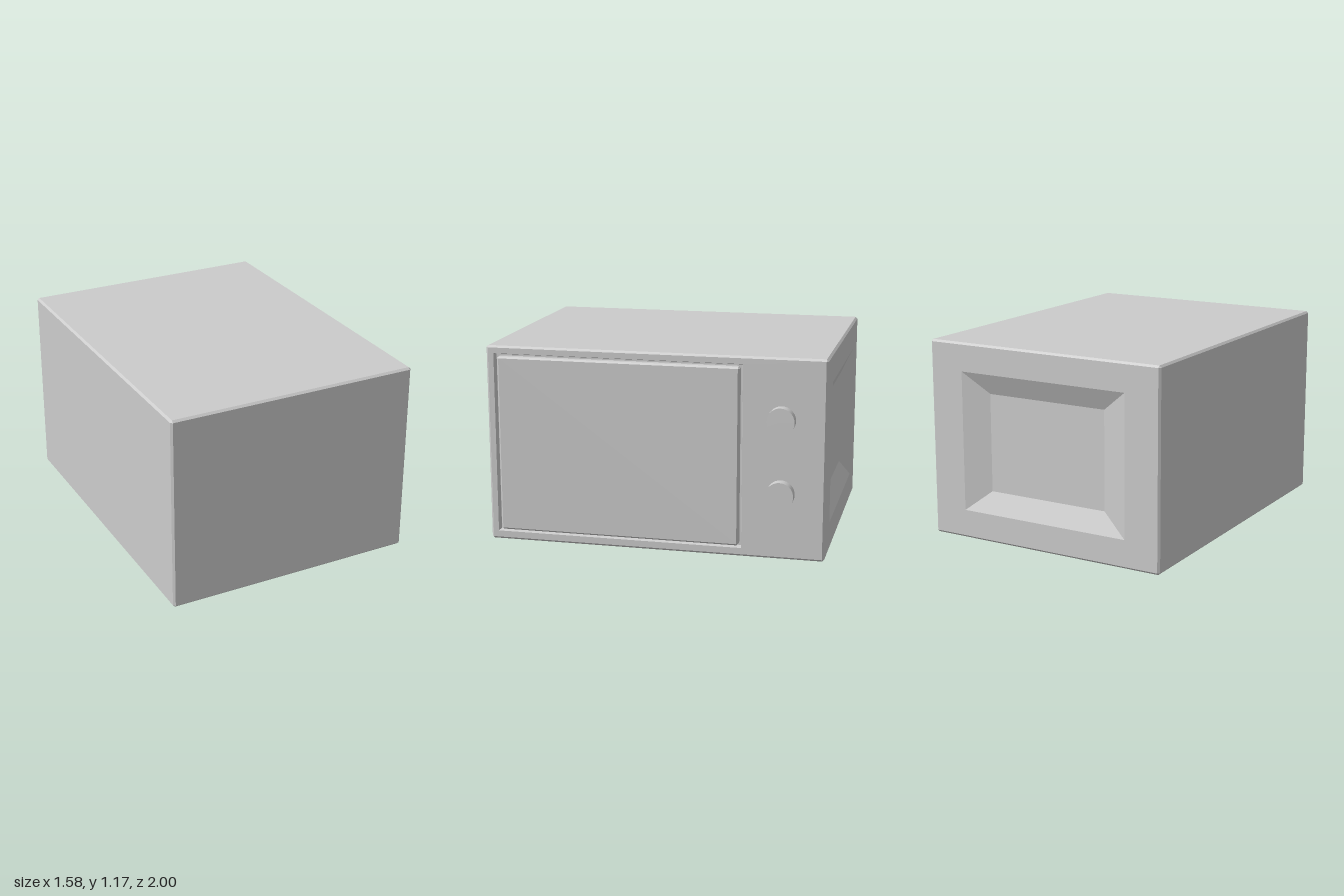
import * as THREE from 'three';

const material = new THREE.MeshStandardMaterial({ color: 0xcccccc, flatShading: true });
const knobMaterial = new THREE.MeshStandardMaterial({ color: 0xcccccc });

// Box with chamfered edges. recesses['axis,sign'] lists rectangles { u, v, w } stepping
// into that face: u and v are ranges on the next two axes, w is the position on the axis.
function chamferBox(min, max, c, recesses = {}) {
  const pos = [];
  const bound = [min, max];
  const centre = min.map((m, i) => (m + max[i]) / 2);

  const polygon = (pts) => {
    for (let i = 1; i < pts.length - 1; i++) pos.push(...pts[0], ...pts[i], ...pts[i + 1]);
  };
  // Winds a convex polygon so that it faces away from the box centre
  const outward = (pts) => {
    const [p, q, r] = pts.map((a) => new THREE.Vector3(...a));
    const normal = q.clone().sub(p).cross(r.sub(p));
    const out = p.sub(new THREE.Vector3(...centre));
    polygon(normal.dot(out) < 0 ? pts.reverse() : pts);
  };
  // Box corner belonging to the face on one axis: the other two axes are inset
  const corner = (signs, axis) =>
    signs.map((s, i) => bound[s > 0 ? 1 : 0][i] - (i === axis ? 0 : s * c));

  for (let a = 0; a < 3; a++) {
    const b = (a + 1) % 3, d = (a + 2) % 3;
    for (const s of [-1, 1]) {
      // Face, stepped through its recess rings and capped
      const rings = [
        { u: [min[b] + c, max[b] - c], v: [min[d] + c, max[d] - c], w: bound[s > 0 ? 1 : 0][a] },
        ...(recesses[`${a},${s}`] || []),
      ].map(({ u, v, w }) => {
        const pts = [[0, 0], [1, 0], [1, 1], [0, 1]].map(([i, j]) => {
          const p = [];
          p[a] = w; p[b] = u[i]; p[d] = v[j];
          return p;
        });
        return s > 0 ? pts : pts.reverse();
      });
      for (let k = 0; k < rings.length - 1; k++) {
        for (let i = 0; i < 4; i++) {
          const j = (i + 1) % 4;
          polygon([rings[k][i], rings[k][j], rings[k + 1][j], rings[k + 1][i]]);
        }
      }
      polygon(rings[rings.length - 1]);

      // Chamfered edges between this axis and the next
      for (const t of [-1, 1]) {
        const at = (e) => { const g = []; g[a] = s; g[b] = t; g[d] = e; return g; };
        outward([corner(at(-1), a), corner(at(1), a), corner(at(1), b), corner(at(-1), b)]);
      }
    }
  }
  // Corner triangles
  for (const x of [-1, 1]) for (const y of [-1, 1]) for (const z of [-1, 1]) {
    outward([0, 1, 2].map((axis) => corner([x, y, z], axis)));
  }

  const geometry = new THREE.BufferGeometry();
  geometry.setAttribute('position', new THREE.Float32BufferAttribute(pos, 3));
  geometry.computeVertexNormals();
  return geometry;
}

export function createModel() {
  const group = new THREE.Group();
  const add = (name, geometry, mat = material) => {
    const mesh = new THREE.Mesh(geometry, mat);
    mesh.name = name;
    group.add(mesh);
    return mesh;
  };

  // Casing with a door opening on +x and a shallow sloped panel pressed into -z
  add('casing', chamferBox([-0.79, 0, -1], [0.732, 1.175, 1], 0.012, {
    '0,1': [
      { u: [0.05, 1.13], v: [-0.52, 0.955], w: 0.732 },
      { u: [0.058, 1.122], v: [-0.512, 0.947], w: 0.7 },
    ],
    '2,-1': [
      { u: [-0.57, 0.515], v: [0.17, 1.005], w: -1 },
      { u: [-0.41, 0.355], v: [0.295, 0.88], w: -0.945 },
    ],
  }));

  // Door sitting in the opening, slightly proud of the casing
  add('door', chamferBox([0.69, 0.065, -0.503], [0.745, 1.113, 0.932], 0.01));

  // Control knobs
  for (const [name, y] of [['upperKnob', 0.82], ['lowerKnob', 0.39]]) {
    const knob = add(name, new THREE.CylinderGeometry(0.08, 0.08, 0.07, 32), knobMaterial);
    knob.rotation.z = -Math.PI / 2;
    knob.position.set(0.755, y, -0.745);
  }
  return group;
}
